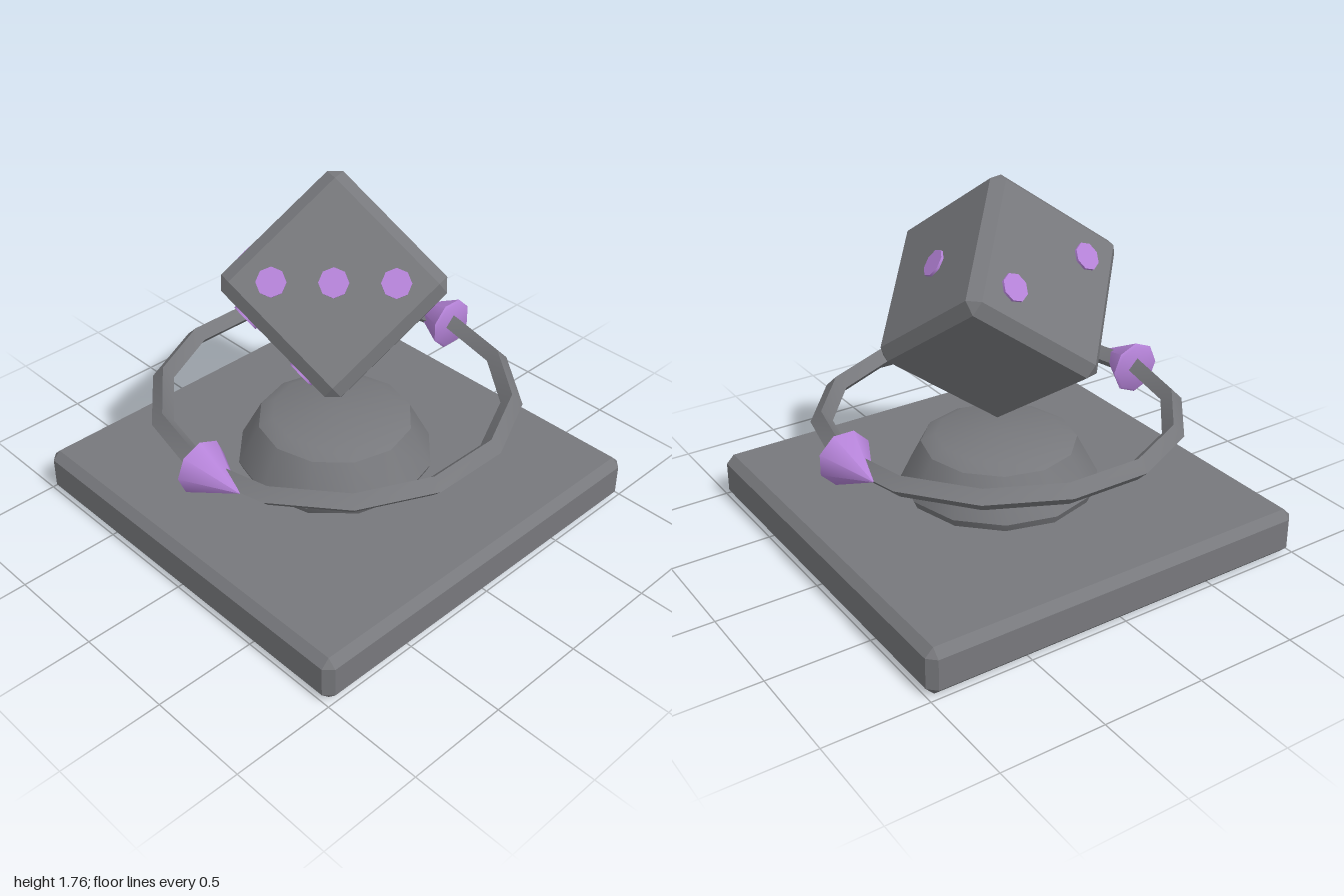
import * as THREE from 'three';
import { toCreasedNormals } from 'three/addons/utils/BufferGeometryUtils.js';
import { ConvexGeometry } from 'three/addons/geometries/ConvexGeometry.js';

const grey = new THREE.MeshStandardMaterial({ color: 0x77787c });
grey.name = 'slateGrey';
const purple = new THREE.MeshStandardMaterial({ color: 0xb583d8 });
purple.name = 'lilac';

function addMesh(parent, name, geometry, material) {
  const mesh = new THREE.Mesh(geometry, material);
  mesh.name = name;
  parent.add(mesh);
  return mesh;
}

// Box with chamfered edges and cut corners, given half sizes and chamfer
function chamferBox(hx, hy, hz, c) {
  const points = [];
  for (const x of [-1, 1]) for (const y of [-1, 1]) for (const z of [-1, 1]) {
    points.push(
      new THREE.Vector3(x * hx, y * (hy - c), z * (hz - c)),
      new THREE.Vector3(x * (hx - c), y * hy, z * (hz - c)),
      new THREE.Vector3(x * (hx - c), y * (hy - c), z * hz));
  }
  return new ConvexGeometry(points);
}

// Lathe from [radius, height] pairs with sharp profile edges
function turned(profile, sides, crease, start = 0) {
  const points = profile.map(([r, y]) => new THREE.Vector2(r, y));
  return toCreasedNormals(new THREE.LatheGeometry(points, sides, start), crease);
}

// Die with its raised pips, balanced on one corner
function createDie() {
  const die = new THREE.Group();
  die.name = 'die';
  const half = 0.37;
  addMesh(die, 'dieBody', chamferBox(half, half, half, 0.05), grey);

  const pip = new THREE.CylinderGeometry(0.067, 0.067, 0.03, 8);
  const d = 0.175;
  const faces = [
    { normal: [1, 0, 0], spots: [[0, 0, 0]] },
    { normal: [0, 1, 0], spots: [[d, 0, -d], [-d, 0, d]] },
    { normal: [0, 0, 1], spots: [[0.19, -0.19, 0], [0, 0, 0], [-0.19, 0.19, 0]] },
    { normal: [-1, 0, 0], spots: [[0, d, d], [0, d, -d], [0, -d, d], [0, -d, -d]] },
  ];
  for (const { normal, spots } of faces) {
    const n = new THREE.Vector3(...normal);
    for (const spot of spots) {
      const mesh = addMesh(die, 'pip', pip, purple);
      mesh.position.set(...spot).addScaledVector(n, half - 0.003);
      mesh.quaternion.setFromUnitVectors(new THREE.Vector3(0, 1, 0), n);
    }
  }

  // The three upper face normals are spaced evenly around the vertical
  const axis = (degrees) => {
    const a = THREE.MathUtils.degToRad(degrees);
    const r = Math.sqrt(2 / 3);
    return new THREE.Vector3(r * Math.cos(a), Math.sqrt(1 / 3), r * Math.sin(a));
  };
  die.quaternion.setFromRotationMatrix(
    new THREE.Matrix4().makeBasis(axis(15), axis(-105), axis(135)));
  die.position.y = 1.18;
  return die;
}

export function createModel() {
  const model = new THREE.Group();
  model.name = 'spinningDieStand';

  // Square base plate
  addMesh(model, 'basePlate', chamferBox(1, 0.115, 1, 0.04), grey).position.y = 0.115;

  // Tapered pedestal
  const profile = [[0, 0.225], [0.46, 0.23], [0.478, 0.27], [0.375, 0.465], [0.305, 0.5], [0, 0.5]];
  addMesh(model, 'pedestal', turned(profile, 12, 0.5), grey);

  // Rotation ring with a diamond section
  const ringGeometry = new THREE.TorusGeometry(0.835, 0.052, 4, 14).rotateX(Math.PI / 2);
  addMesh(model, 'ring', toCreasedNormals(ringGeometry, 0.5), grey).position.y = 0.617;

  // Arrowheads pointing opposite ways round the ring
  const cone = [[0, 0], [0.12, 0], [0.132, 0.01], [0, 0.272]];
  for (const side of [-1, 1]) {
    const arrow = addMesh(model, side > 0 ? 'leftArrowhead' : 'rightArrowhead',
      turned(cone, 8, 0.85, side > 0 ? Math.PI / 8 : 0), purple);
    arrow.position.set(side * 0.83, 0.617, 0);
    arrow.rotation.x = -side * Math.PI / 2;
  }

  model.add(createDie());
  return model;
}
